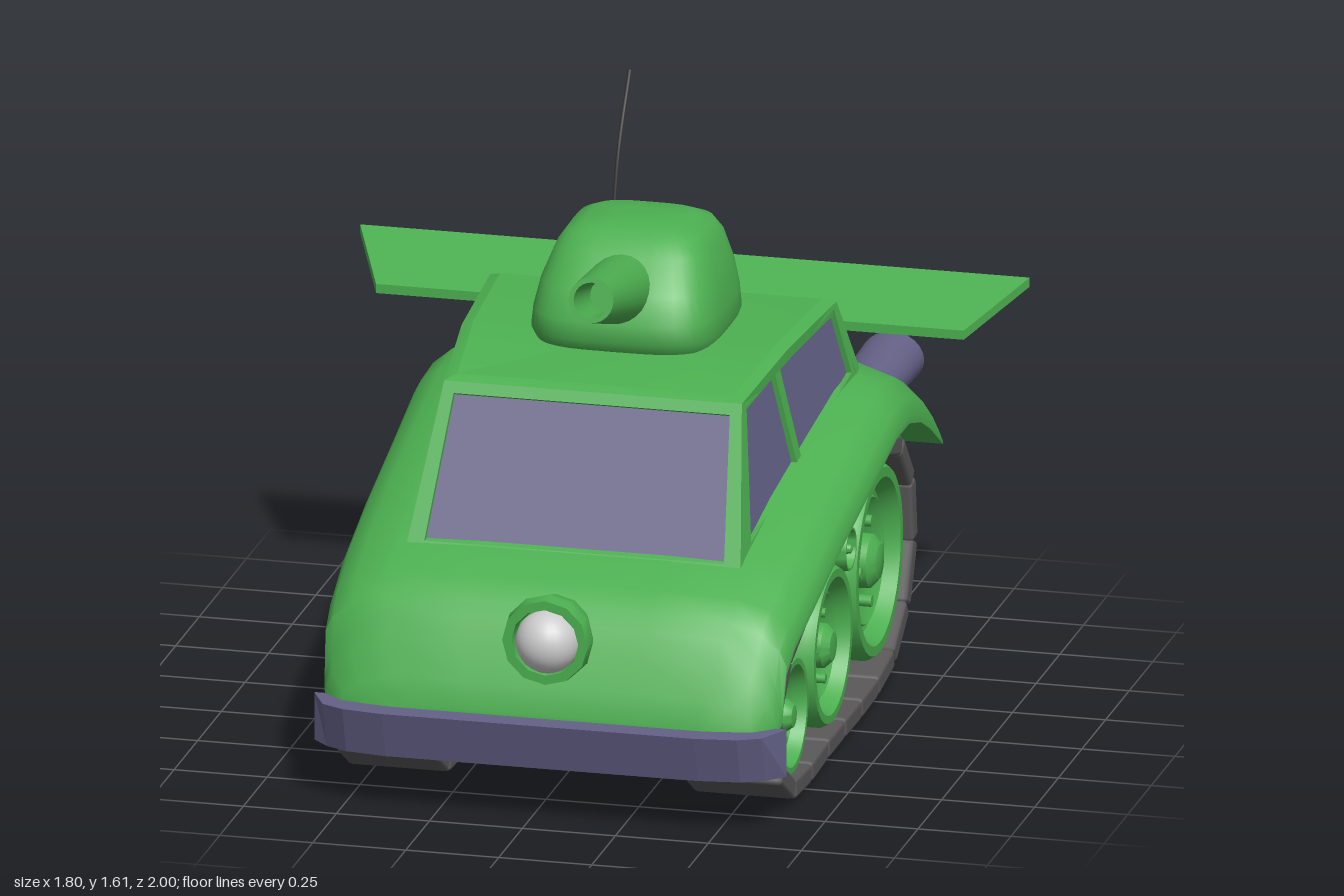
import * as THREE from 'three';
import { toCreasedNormals } from 'three/addons/utils/BufferGeometryUtils.js';
import { RoundedBoxGeometry } from 'three/addons/geometries/RoundedBoxGeometry.js';

const V = (x, y, z) => new THREE.Vector3(x, y, z);
const mat = (color) => new THREE.MeshStandardMaterial({ color });
const green = mat(0x4caf50), blue = mat(0x646187), rubber = mat(0x5a5858), dark = mat(0x333333), lampGrey = mat(0xcccccc);

function add(parent, name, geometry, material, x = 0, y = 0, z = 0) {
  const m = new THREE.Mesh(geometry, material);
  m.name = name;
  m.position.set(x, y, z);
  parent.add(m);
  return m;
}

// Closed skin through rings of points; both ends are capped at their centres.
function loft(rings, crease = 0.6) {
  const n = rings[0].length;
  const centre = (r) => {
    const c = r.reduce((s, p) => s.add(p), V(0, 0, 0)).divideScalar(n);
    return r.map(() => c);
  };
  const all = [centre(rings[0]), ...rings, centre(rings[rings.length - 1])];
  const idx = [];
  for (let i = 0; i < all.length - 1; i++) {
    for (let j = 0; j < n; j++) {
      const k = (j + 1) % n, a = i * n + j, b = i * n + k;
      if (i > 0) idx.push(a, b, a + n);
      else idx.push(a, b + n, a + n);
      if (i > 0 && i < all.length - 2) idx.push(b, b + n, a + n);
    }
  }
  const g = new THREE.BufferGeometry().setFromPoints(all.flat());
  g.setIndex(idx);
  return toCreasedNormals(g, crease);
}

const lathe = (pts, seg = 32) =>
  toCreasedNormals(new THREE.LatheGeometry(pts.map((p) => new THREE.Vector2(...p)), seg), 0.6);

// Hollow pipe along +z, from z = 0 to len
const pipe = (r0, r1, len) =>
  lathe([[0, 0], [r0, 0], [r1, len], [r1 * 0.78, len], [r1 * 0.7, len * 0.55], [0, len * 0.55]], 24).rotateX(Math.PI / 2);

// Flat wall on four corners (counter-clockwise from outside) with glazed openings.
// An opening is four [u, v] fractions of the wall.
function wall(parent, name, c, openings) {
  const ux = c[1].clone().sub(c[0]).normalize();
  const n = ux.clone().cross(c[3].clone().sub(c[0])).normalize();
  const uy = n.clone().cross(ux);
  const flat = (p) => {
    const d = p.clone().sub(c[0]);
    return new THREE.Vector2(d.dot(ux), d.dot(uy));
  };
  const at = ([u, v]) => flat(c[0].clone().lerp(c[1], u).lerp(c[3].clone().lerp(c[2], u), v));
  const shape = new THREE.Shape(c.map(flat));
  const g = new THREE.Group();
  g.name = name;
  for (const o of openings) {
    const pts = o.map(at);
    shape.holes.push(new THREE.Path(pts));
    add(g, 'windowGlass', new THREE.ShapeGeometry(new THREE.Shape(pts)), blue, 0, 0, -0.015);
  }
  add(g, 'wallFrame', new THREE.ExtrudeGeometry(shape, { depth: 0.03, bevelEnabled: false }), green, 0, 0, -0.03);
  g.applyMatrix4(new THREE.Matrix4().makeBasis(ux, uy, n).setPosition(c[0]));
  parent.add(g);
}

function makeWheel(R) {
  const w = new THREE.Group();
  w.name = 'wheel';
  const profile = [[0, -0.08], [0.7 * R, -0.08], [0.85 * R, -0.12], [R, -0.11], [R, 0.1], [0.95 * R, 0.12], [0.85 * R, 0.12],
    [0.76 * R, 0.075], [0.7 * R, 0.07], [0.64 * R, 0.09], [0.5 * R, 0.065], [0.28 * R, 0.06], [0.27 * R, 0.1], [0.18 * R, 0.12], [0, 0.125]];
  add(w, 'wheelDisc', lathe(profile, 40).rotateZ(-Math.PI / 2), green);
  for (let i = 0; i < 4; i++) {
    const a = i * Math.PI / 2;
    add(w, 'wheelBolt', new THREE.CylinderGeometry(0.06 * R, 0.06 * R, 0.05, 12).rotateZ(Math.PI / 2), green,
      0.075, Math.cos(a) * 0.42 * R, Math.sin(a) * 0.42 * R);
  }
  return w;
}

export function createModel() {
  const root = new THREE.Group();
  root.name = 'tankCar';
  const car = new THREE.Group();
  car.name = 'vehicle';
  car.position.x = 0.04;
  root.add(car);

  // Body shell with fenders and lower hull: [z, top, half width, fender edge, floor]
  const stations = [[0.93, 0.29, 0.46, 0.25, 0.25], [0.905, 0.36, 0.56, 0.25, 0.24], [0.86, 0.45, 0.605, 0.26, 0.22],
    [0.83, 0.505, 0.615, 0.28, 0.21], [0.8, 0.545, 0.62, 0.41, 0.2], [0.73, 0.59, 0.625, 0.46, 0.19], [0.56, 0.65, 0.635, 0.52, 0.19],
    [0.3, 0.725, 0.64, 0.595, 0.2], [0, 0.795, 0.645, 0.665, 0.25], [-0.25, 0.85, 0.65, 0.725, 0.28], [-0.38, 0.865, 0.65, 0.725, 0.3],
    [-0.5, 0.845, 0.65, 0.69, 0.33], [-0.6, 0.8, 0.65, 0.64, 0.38], [-0.72, 0.71, 0.645, 0.57, 0.47], [-0.81, 0.59, 0.63, 0.53, 0.51]];
  add(car, 'bodyShell', loft(stations.map(([z, t, w, low, floor]) => {
    const h = t - low;
    const half = [[0.4 * w, t], [0.74 * w, t - 0.03 * h], [0.89 * w, t - 0.24 * h], [0.97 * w, t - 0.55 * h], [w, t - 0.85 * h],
      [w, low], [0.24, low], [0.24, floor]];
    return [...half.map(([x, y]) => V(x, y, z)), ...half.reverse().map(([x, y]) => V(-x, y, z))];
  }), 0.7), green);
  add(car, 'floorPanel', new THREE.BoxGeometry(0.46, 0.02, 0.32), blue, 0, 0.2, 0.3).rotation.x = 0.05;
  add(car, 'sump', new THREE.CapsuleGeometry(0.11, 0.12, 6, 16).rotateX(Math.PI / 2), green, 0, 0.25, 0.62);

  // Cabin
  const cabin = new THREE.Group();
  cabin.name = 'cabin';
  car.add(cabin);
  const FB = (s) => V(0.45 * s, 0.615, 0.62), FR = (s) => V(0.40 * s, 1.01, 0.41);
  const RR = (s) => V(0.465 * s, 1.06, -0.33), RB = (s) => V(0.51 * s, 0.86, -0.40);
  const pane = (a, b, c, d, v0, v1) => [[a, v0], [b, v0], [c, v1], [d, v1]];
  const sidePanes = [pane(0.09, 0.485, 0.35, 0.05, 0.08, 0.95), pane(0.52, 0.95, 0.96, 0.4, 0.08, 0.95)];
  const flip = (o) => o.map(([u, v]) => [1 - u, v]).reverse();
  wall(cabin, 'windscreenWall', [FB(-1), FB(1), FR(1), FR(-1)], [pane(0.05, 0.95, 0.96, 0.04, 0.05, 0.93)]);
  wall(cabin, 'rearWall', [RB(1), RB(-1), RR(-1), RR(1)], [pane(0.1, 0.9, 0.9, 0.1, 0.14, 0.88)]);
  wall(cabin, 'sideWallLeft', [FB(1), RB(1), RR(1), FR(1)], sidePanes);
  wall(cabin, 'sideWallRight', [RB(-1), FB(-1), FR(-1), RR(-1)], sidePanes.map(flip));
  const roofRing = (k, dy) => [FR(-1), FR(1), V(0.437, 1.055, 0.08), RR(1), RR(-1), V(-0.437, 1.055, 0.08)]
    .map((p) => V(p.x * k, p.y + dy, p.z * k));
  add(cabin, 'roof', loft([roofRing(1, -0.03), roofRing(1, 0), roofRing(0.93, 0.013)], 0.3), green);

  // Turret with hollow gun barrel
  const turret = new THREE.Group();
  turret.name = 'turret';
  car.add(turret);
  const pw = (v) => Math.sign(v) * Math.abs(v) ** 0.55;
  const levels = [[1.05, 0.245, 0.19, -0.3], [1.08, 0.255, 0.21, -0.31], [1.13, 0.25, 0.205, -0.31], [1.2, 0.235, 0.17, -0.3],
    [1.28, 0.205, 0.1, -0.28], [1.315, 0.18, 0.06, -0.255], [1.335, 0.14, 0.02, -0.21], [1.342, 0.07, -0.04, -0.14]];
  add(turret, 'turretShell', loft(levels.map(([y, w, zf, zb]) => Array.from({ length: 40 }, (_, i) => {
    const a = i / 40 * Math.PI * 2;
    return V(w * pw(Math.sin(a)), y, (zf + zb) / 2 + (zf - zb) / 2 * pw(Math.cos(a)));
  })), 0.8), green);
  add(turret, 'gunBarrel', pipe(0.095, 0.06, 0.36), green, 0, 1.19, 0.08).rotation.x = -0.22;
  add(turret, 'antennaBase', new THREE.SphereGeometry(0.02, 16, 12), dark, -0.125, 1.245, -0.29);
  const whip = new THREE.CatmullRomCurve3([V(-0.125, 1.245, -0.29), V(-0.123, 1.43, -0.345), V(-0.12, 1.61, -0.45)]);
  add(turret, 'antenna', new THREE.TubeGeometry(whip, 16, 0.005, 6), dark);

  // Headlight
  add(car, 'headlightHousing', lathe([[0.06, -0.15], [0.1, -0.05], [0.12, 0.02], [0.115, 0.06], [0.09, 0.06], [0.085, 0.03], [0, 0.03]], 12)
    .rotateX(Math.PI / 2), green, 0, 0.485, 0.86);
  add(car, 'headlightLens', new THREE.SphereGeometry(0.085, 24, 16), lampGrey, 0, 0.48, 0.885);

  // Front bumper, narrowing toward its lower edge
  const b = new THREE.Shape([[-0.635, 0.86], [-0.59, 0.95], [-0.53, 0.98], [-0.42, 0.995], [0.42, 0.995], [0.53, 0.98], [0.59, 0.95], [0.635, 0.86]]
    .map(([x, z]) => new THREE.Vector2(x, -z)));
  const bumper = new THREE.ExtrudeGeometry(b, { depth: 0.13, bevelEnabled: false }).rotateX(-Math.PI / 2);
  const bp = bumper.attributes.position;
  for (let i = 0; i < bp.count; i++) if (bp.getY(i) < 0.01 && bp.getZ(i) > 0.9) bp.setZ(i, bp.getZ(i) - 0.045);
  bumper.computeVertexNormals();
  add(car, 'frontBumper', bumper, blue, 0, 0.15, 0);

  // Tail box and exhausts
  add(car, 'tailBox', loft([[-0.57, 0.82, 0.38, 0.25], [-0.82, 0.8, 0.56, 0.24], [-1, 0.795, 0.775, 0.2]].map(([z, t, l, w]) =>
    [V(-w, t, z), V(w, t, z), V(w, l, z), V(-w, l, z)]), 0.2), green);
  for (const [x, y, end, r] of [[-0.06, 0.63, -0.97, 0.042], [0.06, 0.63, -0.97, 0.042], [0, 0.715, -0.995, 0.05]])
    add(car, 'smallExhaust', pipe(r, r, 0.25), blue, x, y, end + 0.25).rotation.y = Math.PI;

  // Rear spoiler and its struts
  const spoilerRing = (d) => [V(-0.79, 0.905 + d, -0.56), V(0.79, 0.905 + d, -0.56), V(0.9, 0.975 + d, -0.825), V(-0.9, 0.975 + d, -0.825)];
  add(car, 'spoiler', loft([spoilerRing(0), spoilerRing(0.025)], 0.3), green, -0.04);

  // Tracks, wheels and paired parts
  const path = new THREE.CatmullRomCurve3([[0.62, 0.035], [0.2, 0.035], [-0.23, 0.035], [-0.42, 0.06], [-0.57, 0.16], [-0.65, 0.34], [-0.61, 0.52],
    [-0.49, 0.63], [-0.3, 0.67], [0, 0.6], [0.35, 0.515], [0.6, 0.44], [0.76, 0.36], [0.79, 0.23], [0.75, 0.1]]
    .map(([z, y]) => V(0, y, z)), true);
  const links = path.getSpacedPoints(20);
  const wheels = [[0.585, 0.225, 0.16], [0.17, 0.284, 0.215], [-0.32, 0.36, 0.262], [-0.02, 0.49, 0.06]];
  for (const s of [-1, 1]) {
    const track = new THREE.Group();
    track.name = s > 0 ? 'leftTrack' : 'rightTrack';
    track.position.x = s * 0.465;
    car.add(track);
    for (let i = 0; i < 20; i++) {
      const p = links[i], q = links[i + 1];
      const link = add(track, 'trackLink', new RoundedBoxGeometry(0.27, 0.055, p.distanceTo(q) * 0.98, 1, 0.012), rubber,
        0, (p.y + q.y) / 2, (p.z + q.z) / 2);
      link.rotation.x = Math.atan2(p.y - q.y, q.z - p.z);
    }
    for (const [z, y, r] of wheels) {
      const w = makeWheel(r);
      w.position.set(0, y, z);
      if (s < 0) w.rotation.y = Math.PI;
      track.add(w);
      add(track, 'axle', new THREE.CylinderGeometry(0.03, 0.03, 0.28, 16).rotateZ(Math.PI / 2), green, -s * 0.14, y, z);
    }
    const exhaust = add(car, 'largeExhaust', pipe(0.075, 0.085, 0.36), blue, s * 0.48, 0.735, -0.51);
    exhaust.rotation.y = Math.PI;
    exhaust.scale.y = 0.85;
    const strut = new THREE.Shape([[0.55, 0.8], [0.64, 0.76], [0.68, 0.85], [0.76, 0.965], [0.66, 0.94]].map((p) => new THREE.Vector2(...p)));
    add(car, 'spoilerStrut', new THREE.ExtrudeGeometry(strut, { depth: 0.03, bevelEnabled: false }).rotateY(Math.PI / 2), green, s * 0.3 - 0.015);
  }
  return root;
}
